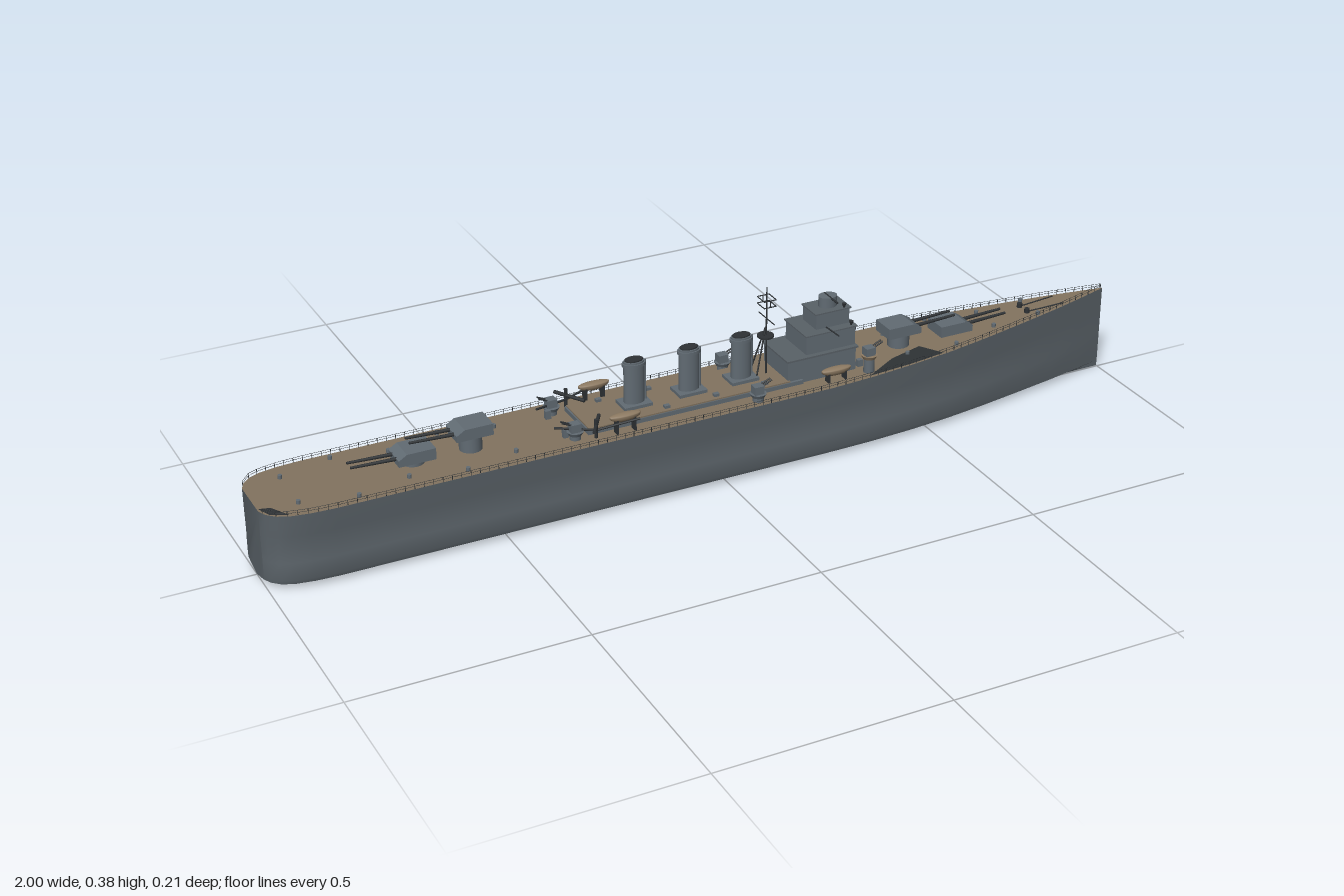
import * as THREE from 'three';
import { mergeGeometries, toCreasedNormals } from 'three/addons/utils/BufferGeometryUtils.js';

const mat = (name, color, side = THREE.FrontSide) => {
  const m = new THREE.MeshStandardMaterial({ color, side });
  m.name = name;
  return m;
};

// Deck outline: [x, half-width]
const PLAN = [[-1, 0.05], [-0.992, 0.068], [-0.975, 0.085], [-0.95, 0.096], [-0.91, 0.103], [-0.86, 0.106],
  [-0.5, 0.106], [0, 0.106], [0.25, 0.106], [0.35, 0.104], [0.45, 0.098], [0.55, 0.088], [0.65, 0.073],
  [0.75, 0.055], [0.85, 0.036], [0.93, 0.018], [1, 0.001]];
const deckY = x => 0.168 + 0.028 * Math.pow(Math.max(0, (x - 0.2) / 0.8), 1.2);
const halfWidth = x => {
  const i = Math.max(1, PLAN.findIndex(p => p[0] >= x));
  const [a, b] = [PLAN[i - 1], PLAN[i]];
  return a[1] + (b[1] - a[1]) * (x - a[0]) / (b[0] - a[0]);
};

function surface(points, index) {
  const g = new THREE.BufferGeometry();
  g.setAttribute('position', new THREE.Float32BufferAttribute(points, 3));
  g.setIndex(index);
  return toCreasedNormals(g, 0.5);
}

// Hull skin lofted through cross-sections, closed by a transom
function hullGeometry() {
  const pos = [], idx = [];
  const half = [[1, 1], [0.98, 0.72], [0.945, 0.45], [0.985, 0.36], [0.99, 0.13], [0.96, 0.075], [0.5, 0.035]];
  const ring = [...half, [0, 0], ...half.slice().reverse().map(([z, y]) => [-z, y])];
  const n = ring.length;
  PLAN.forEach(([x, w]) => ring.forEach(([z, y]) => pos.push(x, y * deckY(x), z * w)));
  for (let i = 0; i < PLAN.length - 1; i++) for (let j = 0; j < n - 1; j++) {
    const a = i * n + j, c = a + n;
    idx.push(a, a + 1, c, a + 1, c + 1, c);
  }
  for (let j = 1; j < n - 1; j++) idx.push(0, j + 1, j);
  return surface(pos, idx);
}

function deckGeometry() {
  const pos = [], idx = [];
  PLAN.forEach(([x, w]) => pos.push(x, deckY(x), w, x, deckY(x), -w));
  for (let i = 0; i < PLAN.length - 1; i++) {
    const a = i * 2;
    idx.push(a, a + 2, a + 1, a + 2, a + 3, a + 1);
  }
  return surface(pos, idx);
}

// Straight rod between two points
function rod(a, b, r, r2 = r) {
  const p = new THREE.Vector3(...a), d = new THREE.Vector3(...b).sub(p);
  const g = new THREE.CylinderGeometry(r2, r, d.length(), 8);
  g.applyQuaternion(new THREE.Quaternion().setFromUnitVectors(new THREE.Vector3(0, 1, 0), d.clone().normalize()));
  return g.translate(...p.addScaledVector(d, 0.5));
}
const block = (x0, x1, y0, y1, hz, z = 0) =>
  new THREE.BoxGeometry(x1 - x0, y1 - y0, hz * 2).translate((x0 + x1) / 2, (y0 + y1) / 2, z);
const drum = (x, y0, y1, z, r, sz = 1, r2 = r) =>
  new THREE.CylinderGeometry(r2, r, y1 - y0, 20).scale(1, 1, sz).translate(x, (y0 + y1) / 2, z);

export function createModel() {
  const root = new THREE.Group();
  root.name = 'warship';
  root.position.z = -0.003;
  const hullGrey = mat('hull grey', 0x596167);
  const steel = mat('superstructure grey', 0x616b73);
  const wood = mat('deck planking', 0x82735f);
  const dark = mat('dark fittings', 0x2e3235, THREE.DoubleSide);
  const boatTan = mat('boat tan', 0x8d7a62);
  const add = (name, geo, m, parent = root) => {
    const mesh = new THREE.Mesh(Array.isArray(geo) ? mergeGeometries(geo.map(g => g.index ? g.toNonIndexed() : g)) : geo, m);
    mesh.name = name;
    parent.add(mesh);
    return mesh;
  };

  add('hull', hullGeometry(), hullGrey);
  add('mainDeck', deckGeometry(), wood);

  // Dark patches on the deck
  const patch = pts => surface(pts.flatMap(([x, z]) => [x, deckY(x) + 0.002, z]),
    pts.slice(2).flatMap((_, i) => [0, i + 1, i + 2]));
  add('deckPatches', [patch([[0.34, 0.1], [0.45, 0.096], [0.53, 0.088], [0.5, 0.035], [0.42, 0.055]]),
    patch([[-0.998, 0.045], [-0.985, 0.076], [-0.95, 0.094], [-0.975, 0.05]])], dark);

  // Long low deckhouse with planked roof
  add('deckhouse', block(-0.3, 0.2, 0.162, 0.178, 0.06), steel);
  add('deckhouseRoof', block(-0.297, 0.17, 0.178, 0.181, 0.058), wood);

  // Twin-gun turrets; dir is the way the barrels point
  const turret = (name, x, y, dir, raised) => {
    const g = new THREE.Group();
    g.name = name;
    const s = new THREE.Shape();
    [[-0.04, 0], [0.04, 0], [0.04, 0.014], [0.022, 0.025], [-0.04, 0.025]].forEach(([a, b], i) => i ? s.lineTo(a, b) : s.moveTo(a, b));
    add('turretHouse', new THREE.ExtrudeGeometry(s, { depth: 0.058, bevelEnabled: false }).translate(0, 0, -0.029), steel, g);
    add('barbette', drum(0, raised ? -0.04 : -0.018, 0, 0, 0.024), steel, g);
    add('gunBarrels', [-0.011, 0.011].map(z => rod([0.035, 0.011, z], [0.135, 0.015, z], 0.0042, 0.0028)), dark, g);
    g.position.set(x, y, 0);
    if (dir < 0) g.rotation.y = Math.PI;
    root.add(g);
  };
  turret('aftLowerTurret', -0.66, 0.178, -1, false);
  turret('aftUpperTurret', -0.535, 0.203, -1, true);
  turret('foreUpperTurret', 0.468, 0.206, 1, true);
  turret('foreLowerTurret', 0.6, 0.182, 1, false);

  // Three oval funnels
  [-0.168, -0.041, 0.082].forEach(x => {
    add('funnel', drum(x, 0.178, 0.283, 0, 0.023, 0.68), steel);
    add('funnelCollar', drum(x, 0.272, 0.279, 0, 0.026, 0.7), steel);
    add('funnelMouth', drum(x, 0.283, 0.286, 0, 0.02, 0.66), dark);
    add('funnelBase', block(x - 0.032, x + 0.032, 0.178, 0.188, 0.024), steel);
    add('steamPipe', rod([x + 0.026, 0.18, 0], [x + 0.026, 0.28, 0], 0.002), steel);
  });

  // Stepped bridge tower
  add('bridgeTower', [block(0.166, 0.33, 0.165, 0.225, 0.054), block(0.214, 0.332, 0.225, 0.27, 0.046),
    block(0.246, 0.326, 0.27, 0.307, 0.029), drum(0.289, 0.307, 0.332, 0, 0.021, 0.8)], steel);
  add('bridgeLedges', [block(0.163, 0.335, 0.223, 0.227, 0.057), block(0.211, 0.336, 0.269, 0.272, 0.049),
    block(0.243, 0.33, 0.306, 0.309, 0.031)], hullGrey);
  add('bridgeWindows', [block(0.331, 0.334, 0.254, 0.261, 0.038), block(0.325, 0.328, 0.291, 0.298, 0.023)], dark);
  add('rangefinder', [rod([0.289, 0.331, -0.016], [0.289, 0.331, 0.042], 0.0022),
    rod([0.27, 0.274, 0.03], [0.27, 0.277, 0.085], 0.0016)], dark);

  // Mast with legs, lookout frame and yards
  const frame = [];
  [0.342, 0.357].forEach(y => {
    frame.push(rod([0.128, y, -0.016], [0.128, y, 0.016], 0.0012), rod([0.156, y, -0.016], [0.156, y, 0.016], 0.0012));
    [-0.016, 0.016].forEach(z => frame.push(rod([0.128, y, z], [0.156, y, z], 0.0012)));
  });
  [-0.016, 0.016].forEach(z => frame.push(rod([0.142, 0.342, z], [0.142, 0.357, z], 0.0012),
    rod([0.11, 0.18, z], [0.14, 0.29, 0], 0.0018)));
  add('mast', [rod([0.142, 0.178, 0], [0.142, 0.382, 0], 0.0025, 0.0012), ...frame,
    drum(0.14, 0.268, 0.272, 0, 0.018), rod([0.142, 0.31, -0.035], [0.142, 0.31, 0.035], 0.0012)], dark);

  [-1, 1].forEach(s => {
    const side = s > 0 ? 'left' : 'right';
    // Secondary guns beside the bridge, and gun tubs further aft
    [[0.35, 0.077, 0.204], [0.08, 0.082, 0.178], [-0.33, 0.06, 0.178]].forEach(([x, z, y], i) => {
      add(side + 'GunPedestal', drum(x, 0.16, y, s * z, 0.012), steel);
      add(side + 'GunTub', drum(x, y, y + 0.008, s * z, 0.014, 1, 0.018), i ? steel : boatTan);
      add(side + 'GunShield', block(x - 0.012, x + 0.01, y + 0.008, y + 0.026, 0.01, s * z), steel);
      add(side + 'LightGuns', [-0.004, 0.004].map(d =>
        rod([x, y + 0.02, s * z + d], [x + (x < 0 ? -0.03 : 0.03), y + 0.034, s * z + d], 0.0018)), dark);
    });
    // Lifeboats on cradles
    [[-0.225, 0.2], [0.27, 0.19]].forEach(([x, y]) => {
      const z = s * 0.077;
      add(side + 'Lifeboat', new THREE.SphereGeometry(1, 16, 8, 0, Math.PI * 2, Math.PI / 2, Math.PI / 2)
        .scale(0.036, 0.014, 0.011).translate(x, y + 0.006, z), boatTan);
      add(side + 'BoatCover', new THREE.SphereGeometry(1, 16, 8, 0, Math.PI * 2, 0, Math.PI / 2)
        .scale(0.036, 0.005, 0.011).translate(x, y + 0.006, z), boatTan);
      add(side + 'BoatCradle', [-0.02, 0.02].map(d => block(x + d - 0.002, x + d + 0.002, 0.165, y, 0.008, z)), dark);
    });
    // Boat cranes amidships
    add(side + 'Crane', [rod([-0.29, 0.165, s * 0.075], [-0.29, 0.21, s * 0.075], 0.004),
      rod([-0.29, 0.185, s * 0.075], [-0.37, 0.195, s * 0.045], 0.0025),
      rod([-0.29, 0.185, s * 0.075], [-0.2, 0.2, s * 0.095], 0.0025),
      rod([-0.305, 0.195, s * 0.1], [-0.265, 0.195, s * 0.035], 0.004)], dark);
    // Searchlights on the bridge wings
    [[0.325, 0.227, 0.012], [0.325, 0.272, 0.04], [0.315, 0.309, 0.025]].forEach(([x, y, z]) =>
      add(side + 'Searchlight', drum(x, y, y + 0.009, s * z, 0.002, 1, 0.005), dark));
    // Deck edge railing
    const xs = Array.from({ length: 101 }, (_, i) => -0.995 + i * 0.0199);
    const at = (x, h) => [x, deckY(x) + h, s * (halfWidth(x) - 0.001)];
    const rails = [];
    xs.forEach((x, i) => {
      rails.push(rod(at(x, 0), at(x, 0.011), 0.0007));
      if (i) [0.006, 0.011].forEach(h => rails.push(rod(at(xs[i - 1], h), at(x, h), 0.0004)));
    });
    add(side + 'Railing', rails, dark);
    // Bollards, vents and hatches scattered along the deck
    const bits = [];
    for (let i = 0; i < 16; i++) {
      const x = -0.92 + i * 0.115, z = s * halfWidth(x) * (i % 2 ? 0.8 : 0.55);
      if (Math.abs(x) > 0.38) bits.push(drum(x, deckY(x), deckY(x) + 0.008, z, 0.0045));
      else bits.push(block(x - 0.006, x + 0.006, 0.165, 0.187, 0.005, s * 0.045));
    }
    add(side + 'DeckFittings', bits, steel);
  });

  // Anchor gear and capstans on the foredeck
  add('capstans', [-0.015, 0.015].map(z => drum(0.79, deckY(0.79), deckY(0.79) + 0.01, z, 0.006)), dark);
  add('anchorChains', [-0.015, 0.015].map(z => rod([0.79, deckY(0.79) + 0.002, z], [0.88, deckY(0.88) + 0.002, z * 1.3], 0.0015)), dark);
  return root;
}
